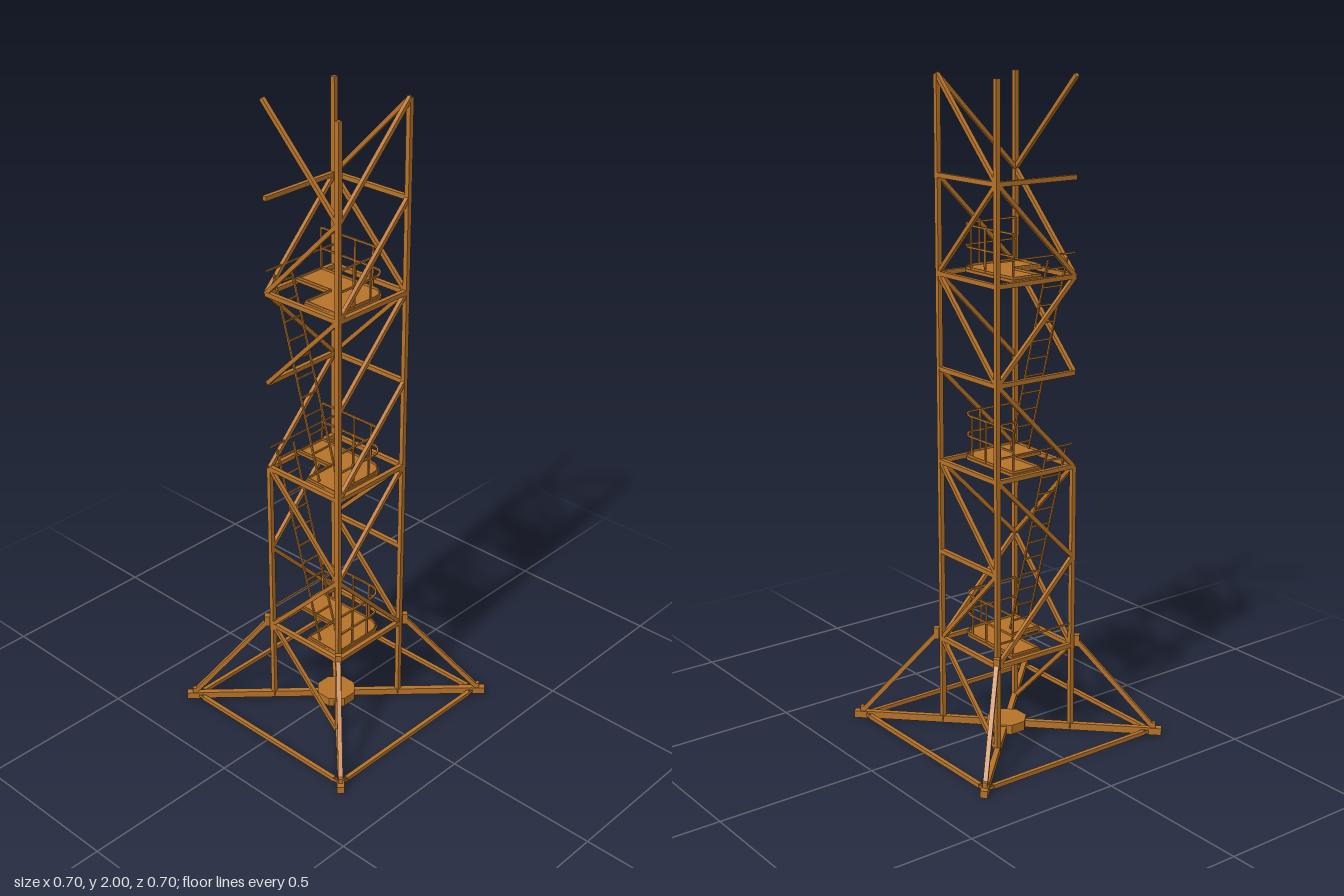
import * as THREE from 'three';

const steel = new THREE.MeshStandardMaterial({ color: 0xb8742a, flatShading: true });
const H = 0.141;                                  // half spacing of the posts
const level = i => i * 2 / 7;                     // bay heights, 0 to 7

function add(parent, name, geometry, x = 0, y = 0, z = 0) {
  const m = new THREE.Mesh(geometry, steel);
  m.name = name;
  m.position.set(x, y, z);
  parent.add(m);
  return m;
}

// Box-section member between two points, turned before it joins its parent
function beam(parent, name, a, b, w, h = w) {
  const p = new THREE.Vector3(...a), q = new THREE.Vector3(...b);
  const m = new THREE.Mesh(new THREE.BoxGeometry(w, h, p.distanceTo(q)), steel);
  m.name = name;
  m.position.copy(p).lerp(q, 0.5);
  m.lookAt(q);
  parent.add(m);
}

function group(parent, name, y = 0) {
  const g = new THREE.Group();
  g.name = name;
  g.position.y = y;
  parent.add(g);
  return g;
}

// Corners at the two ends of each tower face
const faces = {
  front: [[-H, H], [H, H]],
  back: [[-H, -H], [H, -H]],
  right: [[H, H], [H, -H]],
  left: [[-H, H], [-H, -H]],
};

function buildBase(root) {
  const base = group(root, 'base');
  add(base, 'hub', new THREE.CylinderGeometry(0.064, 0.064, 0.03, 8).rotateY(Math.PI / 8), 0, 0.016, 0);
  for (const sx of [-1, 1]) for (const sz of [-1, 1]) {
    const at = (r, y) => [sx * r, y, sz * r];
    beam(base, 'baseBeam', at(0.03, 0.015), at(0.341, 0.015), 0.017, 0.022);
    beam(base, 'footPlate', at(0.312, 0.015), at(0.341, 0.015), 0.022, 0.022);
    beam(base, 'footBracket', at(0.316, 0.032), at(0.328, 0.032), 0.014, 0.02);
    beam(base, 'rakingLeg', at(0.322, 0.028), at(0.153, 0.3), 0.014);
    beam(base, 'legClamp', at(0.148, 0.302), at(0.16, 0.302), 0.02, 0.036);
  }
  for (const s of [-1, 1]) {
    add(base, 'tieBar', new THREE.BoxGeometry(0.58, 0.013, 0.013), 0, 0.015, s * 0.316);
    add(base, 'tieBar', new THREE.BoxGeometry(0.013, 0.013, 0.58), s * 0.316, 0.015, 0);
    // Thin lugs joining the ties to the beams
    for (const e of [-1, 1]) for (const o of [-0.004, 0.004]) {
      add(base, 'tieLug', new THREE.BoxGeometry(0.03, 0.01, 0.002), e * 0.303, 0.015, s * 0.316 + o);
      add(base, 'tieLug', new THREE.BoxGeometry(0.002, 0.01, 0.03), s * 0.316 + o, 0.015, e * 0.303);
    }
  }
}

function buildFrame(root) {
  const frame = group(root, 'towerFrame');
  // The post beside the ladders stops at the second platform
  for (const [x, z, top] of [[H, H, 7], [H, -H, 7], [-H, -H, 7], [-H, H, 3]])
    beam(frame, 'post', [x, 0.01, z], [x, level(top), z], 0.0145);

  // Horizontal members: a full ring below each platform, fewer between
  const rings = { 1: 'front back left right', 2: 'back', 3: 'front back left right',
    4: 'back left', 5: 'front back left right', 6: 'back left' };
  for (const [i, names] of Object.entries(rings)) for (const n of names.split(' ')) {
    const [a, b] = faces[n];
    beam(frame, 'horizontal', [a[0], level(+i), a[1]], [b[0], level(+i), b[1]], 0.014);
  }

  // Diagonals per bay: + rises from the first corner of the face, - falls
  const bays = ['front- back+', 'front+ back- right- left-', 'front- back+ right+ left+',
    'right+ left+', 'front+ back+ right+ left-', 'front+ back- right+ left+', 'front- back+ right+'];
  const end = i => Math.max(0.012, level(i));
  bays.forEach((bay, i) => bay.split(' ').forEach(code => {
    const [a, b] = faces[code.slice(0, -1)], up = code.endsWith('+') ? 1 : 0;
    beam(frame, 'diagonalBrace', [a[0], end(i + 1 - up), a[1]], [b[0], end(i + up), b[1]], 0.0125);
  }));
}

function buildPlatform(root, y) {
  const g = group(root, 'platform', y);
  // Deck with a ladder notch and one rounded corner
  const s = new THREE.Shape();
  s.moveTo(-0.135, 0.08);
  s.lineTo(-0.135, -0.028);
  s.lineTo(0, -0.028);
  s.lineTo(0, -0.132);
  s.lineTo(0.132, -0.132);
  s.lineTo(0.132, 0.025);
  s.absarc(0.077, 0.025, 0.055, 0, Math.PI / 2, false);
  s.closePath();
  const deck = new THREE.ExtrudeGeometry(s, { depth: 0.009, bevelEnabled: false, curveSegments: 6 });
  add(g, 'deck', deck.rotateX(-Math.PI / 2), 0, 0.003, 0);

  // Guard rail along the back, the rounded corner and the right side
  const path = [[-0.13, -0.075]];
  for (let i = 0; i <= 6; i++) {
    const t = Math.PI / 2 * (1 - i / 6);
    path.push([0.077 + 0.05 * Math.cos(t), -0.025 - 0.05 * Math.sin(t)]);
  }
  path.push([0.127, 0.131]);
  const run = (name, pts, h, w, t) => {
    for (let i = 1; i < pts.length; i++)
      beam(g, name, [pts[i - 1][0], h, pts[i - 1][1]], [pts[i][0], h, pts[i][1]], w, t);
  };
  run('topRail', path, 0.141, 0.0055);
  run('midRail', path, 0.077, 0.0055);
  run('toeBoard', [...path, [0.003, 0.128], [0.003, 0.024], [-0.13, 0.024], path[0]], 0.015, 0.003, 0.008);
  for (const [x, z] of [[-0.13, -0.075], [-0.065, -0.075], [0.003, -0.075], [0.072, -0.075],
    [0.127, -0.004], [0.127, 0.063], [0.127, 0.131]])
    beam(g, 'railPost', [x, 0.008, z], [x, 0.141, z], 0.0055);
  // Safety bar across the open left face
  beam(g, 'safetyBar', [-0.139, 0.069, H], [-0.139, 0.069, -H], 0.005);
}

function buildLadder(root, y0, y1) {
  const g = group(root, 'ladder');
  const x0 = 0.042, x1 = -0.134, rungs = 11;
  for (const z of [0.047, 0.117])
    beam(g, 'ladderStringer', [x0, y0, z], [x1, y1, z], 0.005, 0.006);
  for (let i = 0; i < rungs; i++) {
    const t = (i + 0.5) / rungs;
    beam(g, 'rung', [x0 + (x1 - x0) * t, y0 + (y1 - y0) * t, 0.047],
      [x0 + (x1 - x0) * t, y0 + (y1 - y0) * t, 0.117], 0.005);
  }
}

export function createModel() {
  const root = new THREE.Group();
  root.name = 'latticeTower';
  buildBase(root);
  buildFrame(root);
  for (const i of [1, 3, 5]) buildPlatform(root, level(i));
  for (const i of [1, 3]) buildLadder(root, level(i) + 0.016, level(i + 2) + 0.055);
  return root;
}
